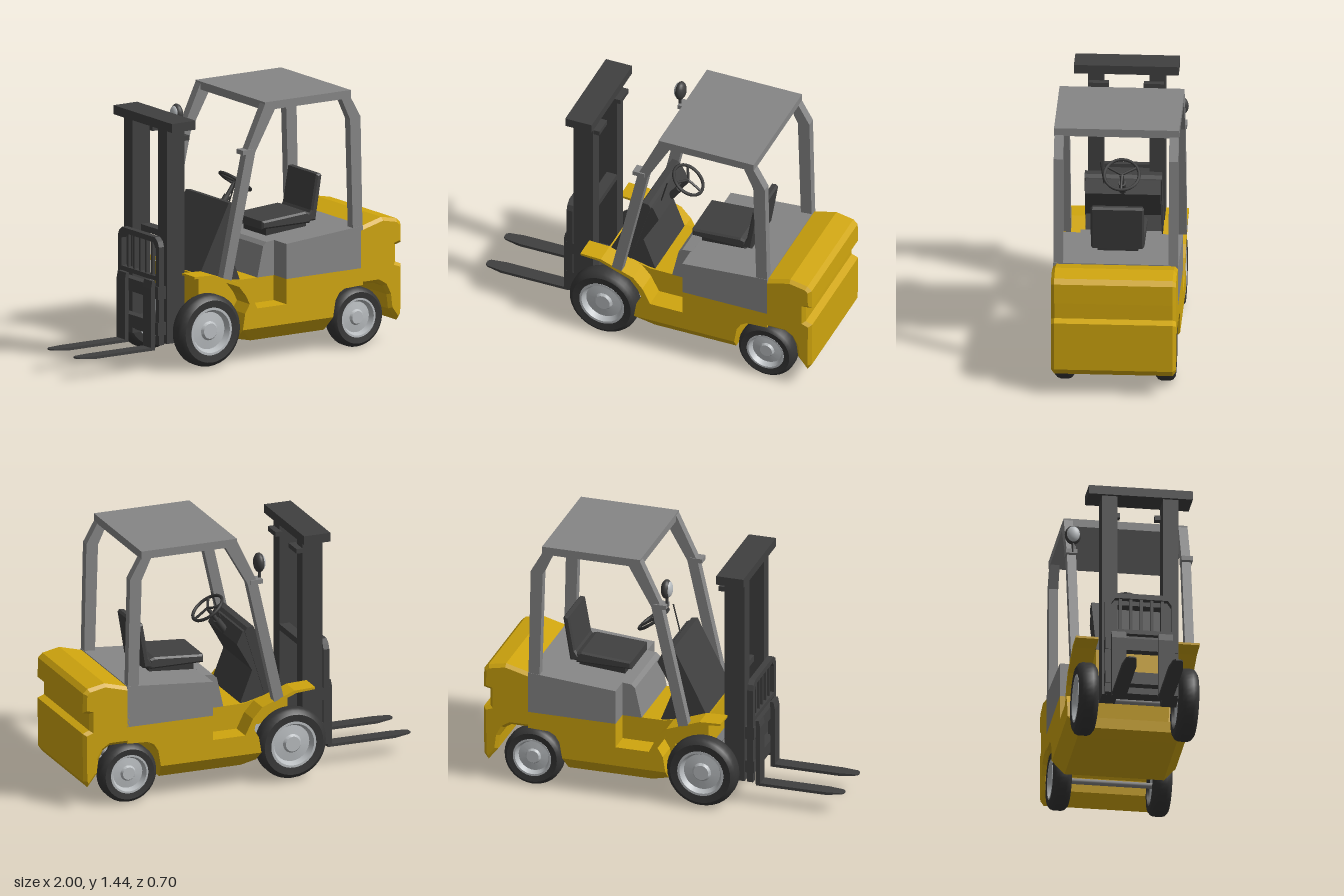
import * as THREE from 'three';
import { toCreasedNormals } from 'three/addons/utils/BufferGeometryUtils.js';

const mat = (name, color) => Object.assign(new THREE.MeshStandardMaterial({ color }), { name });

export function createModel() {
  const yellow = mat('yellow paint', 0xcfa50e), grey = mat('frame grey', 0x868686);
  const dark = mat('dark steel', 0x404040), black = mat('tyre black', 0x363636);
  const silver = mat('rim silver', 0xb9bdc0);
  const model = new THREE.Group();
  model.name = 'forklift';
  const truck = new THREE.Group();
  truck.name = 'truck';
  truck.position.z = 0.005;
  model.add(truck);

  const add = (name, geo, material) => {
    const m = new THREE.Mesh(geo, material);
    m.name = name;
    truck.add(m);
    return m;
  };
  // side profile [x, y] extruded from z0 to z1, with optional chamfer
  const profile = (name, pts, z0, z1, material, bevel = 0) => {
    const shape = new THREE.Shape(pts.map(p => new THREE.Vector2(...p)));
    const geo = new THREE.ExtrudeGeometry(shape, {
      depth: z1 - z0 - 2 * bevel, bevelEnabled: bevel > 0, bevelThickness: bevel,
      bevelSize: bevel, bevelOffset: -bevel, bevelSegments: 1,
    });
    geo.translate(0, 0, z0 + bevel);
    return add(name, geo, material);
  };
  const box = (name, x0, x1, y0, y1, z0, z1, material) => {
    const geo = new THREE.BoxGeometry(x1 - x0, y1 - y0, z1 - z0);
    geo.translate((x0 + x1) / 2, (y0 + y1) / 2, (z0 + z1) / 2);
    return add(name, geo, material);
  };
  const rod = (name, a, b, r, material, sides = 10) => {
    const A = new THREE.Vector3(...a), d = new THREE.Vector3(...b).sub(A);
    const m = add(name, new THREE.CylinderGeometry(r, r, d.length(), sides), material);
    m.position.copy(A).addScaledVector(d, 0.5);
    m.quaternion.setFromUnitVectors(new THREE.Vector3(0, 1, 0), d.normalize());
    return m;
  };
  // the same side profile or box on both sides
  const profiles = (name, pts, z0, z1, material, bevel) => {
    profile(name, pts, z0, z1, material, bevel);
    profile(name, pts, -z1, -z0, material, bevel);
  };
  const boxes = (name, x0, x1, y0, y1, z0, z1, material) => {
    box(name, x0, x1, y0, y1, z0, z1, material);
    box(name, x0, x1, y0, y1, -z1, -z0, material);
  };

  // chassis core, with floor at 0.45
  profile('chassisCore', [[-0.25, 0.51], [-0.25, 0.32], [-0.06, 0.32], [-0.045, 0.2], [0.545, 0.2], [0.56, 0.29],
    [0.62, 0.35], [0.73, 0.35], [0.73, 0.445], [0, 0.45], [-0.08, 0.47]], -0.215, 0.215, yellow);
  // outer skirt with step recess, wheel arch and front fender in one ribbon
  profiles('sideSkirt', [[-0.045, 0.2], [0.545, 0.2], [0.56, 0.29], [0.585, 0.33], [0.62, 0.35], [0.74, 0.355],
    [0.74, 0.45], [0.24, 0.45], [0.24, 0.31], [0.05, 0.31], [0.005, 0.4], [-0.05, 0.46], [-0.24, 0.53], [-0.36, 0.535],
    [-0.36, 0.523], [-0.25, 0.515], [-0.07, 0.445], [-0.025, 0.39], [0.0, 0.34], [-0.03, 0.29]], 0.215, 0.34, yellow);
  // belly, narrowing toward the bottom
  const belly = profile('belly', [[-0.045, 0.2], [-0.04, 0.14], [0.05, 0.12], [0.53, 0.12], [0.545, 0.2]], -0.34, 0.34, yellow);
  const bp = belly.geometry.attributes.position;
  for (let i = 0; i < bp.count; i++) if (bp.getY(i) < 0.16) bp.setZ(i, bp.getZ(i) * 0.8);
  belly.geometry.computeVertexNormals();

  // counterweight with rear groove and half of the wheel arch
  profile('counterweight', [[0.71, 0.355], [0.84, 0.355], [0.88, 0.33], [0.905, 0.28], [0.915, 0.2], [0.97, 0.13],
    [0.995, 0.165], [0.998, 0.44], [0.96, 0.455], [0.96, 0.55], [0.998, 0.56], [0.995, 0.67], [0.97, 0.695],
    [0.87, 0.715], [0.71, 0.672]], -0.34, 0.34, yellow, 0.018);

  // grey hood under the seat, with narrower front part
  profile('hood', [[0.24, 0.45], [0.74, 0.45], [0.74, 0.685], [0.24, 0.645]], -0.34, 0.34, grey);
  profile('hoodFront', [[0.13, 0.45], [0.25, 0.45], [0.25, 0.646], [0.19, 0.64], [0.168, 0.62]], -0.22, 0.22, grey);

  // seat
  box('seatBase', 0.26, 0.52, 0.64, 0.69, -0.11, 0.11, black);
  profile('seatCushion', [[0.215, 0.69], [0.53, 0.69], [0.53, 0.745], [0.5, 0.755], [0.215, 0.735]], -0.145, 0.145, dark, 0.01);
  profile('seatBack', [[0.5, 0.7], [0.565, 0.7], [0.605, 0.945], [0.595, 0.957], [0.57, 0.955], [0.535, 0.76]],
    -0.145, 0.145, dark, 0.01);

  // dash cowl
  profile('dashPanel', [[-0.24, 0.51], [-0.12, 0.47], [0.0, 0.86], [-0.015, 0.88], [-0.05, 0.885]], -0.21, 0.21, dark);
  profile('dashPedestal', [[-0.15, 0.46], [0.025, 0.45], [-0.045, 0.63], [0.045, 0.79], [0.01, 0.86], [-0.04, 0.87]],
    -0.205, 0.205, dark);

  // steering wheel, column and lever
  const hub = [0.133, 0.945, 0], tilt = new THREE.Vector3(0.588, 0.81, 0);
  const rim = add('steeringWheel', new THREE.TorusGeometry(0.095, 0.009, 8, 28), black);
  rim.position.set(...hub);
  rim.quaternion.setFromUnitVectors(new THREE.Vector3(0, 0, 1), tilt);
  rod('steeringColumn', [0.02, 0.79, 0], hub, 0.012, dark);
  rod('steeringBoot', [0.02, 0.79, 0], [0.08, 0.872, 0], 0.02, dark);
  for (const a of [0, 2.094, 4.189]) {
    const s = new THREE.Vector3(0.81 * Math.cos(a), -0.588 * Math.cos(a), Math.sin(a)).multiplyScalar(0.093);
    rod('steeringSpoke', hub, [hub[0] + s.x, hub[1] + s.y, s.z], 0.007, black, 6);
  }
  rod('lever', [0.01, 0.82, 0.1], [0.06, 0.99, 0.12], 0.004, black, 6);

  // overhead guard
  box('roof', 0.1, 0.66, 1.405, 1.45, -0.34, 0.34, grey);
  profiles('frontPost', [[-0.175, 0.5], [-0.12, 0.48], [0.024, 1.18], [0.165, 1.405], [0.165, 1.42], [0.1, 1.44], [-0.035, 1.18]]
    .map(([x, y]) => y === 1.18 ? [x + 0.012, y] : [x, y]), 0.29, 0.34, grey);
  profiles('rearPost', [[0.675, 0.67], [0.738, 0.675], [0.725, 1.295], [0.66, 1.41], [0.6, 1.41], [0.657, 1.285]], 0.288, 0.338, grey);
  boxes('postBracket', -0.05, 0.02, 1.175, 1.2, 0.285, 0.348, grey);

  // round work lamp on one post
  rod('lampStalk', [-0.045, 1.18, -0.31], [-0.045, 1.26, -0.31], 0.008, dark);
  const lamp = add('lampShell', new THREE.SphereGeometry(1, 20, 12), dark);
  lamp.scale.set(0.03, 0.055, 0.045);
  lamp.position.set(-0.042, 1.285, -0.31);
  const lens = add('lampLens', new THREE.SphereGeometry(1, 20, 12), silver);
  lens.scale.set(0.022, 0.046, 0.037);
  lens.position.set(-0.055, 1.285, -0.31);

  // mast
  boxes('mastUpright', -0.455, -0.34, 0.15, 1.345, 0.125, 0.21, dark);
  box('mastTopBar', -0.472, -0.317, 1.34, 1.39, -0.285, 0.285, dark);
  boxes('mastBracket', -0.345, -0.305, 1.265, 1.292, 0.095, 0.205, dark);
  box('mastMidBar', -0.4, -0.34, 0.715, 0.75, -0.2, 0.2, dark);
  box('mastLowBar', -0.44, -0.36, 0.17, 0.25, -0.2, 0.2, dark);

  // carriage plates and load backrest with rounded top corners
  for (const y of [0.2, 0.4]) box('carriagePlate', -0.505, -0.455, y, y + 0.07, -0.2, 0.2, dark);
  box('carriageRail', -0.5, -0.468, 0.5, 0.525, -0.2, 0.2, dark);
  const frame = new THREE.Shape([[-0.2, 0.145], [-0.165, 0.145], [-0.165, 0.68], [-0.145, 0.71], [0.145, 0.71], [0.165, 0.68],
    [0.165, 0.145], [0.2, 0.145], [0.2, 0.69], [0.188, 0.72], [0.16, 0.74], [-0.16, 0.74], [-0.188, 0.72], [-0.2, 0.69]]
    .map(p => new THREE.Vector2(...p)));
  const frameGeo = new THREE.ExtrudeGeometry(frame, { depth: 0.034, bevelEnabled: false });
  frameGeo.rotateY(Math.PI / 2).translate(-0.5, 0, 0);
  add('backrestFrame', frameGeo, dark);
  for (let i = -2; i <= 2; i++) box('backrestBar', -0.492, -0.475, 0.51, 0.72, i * 0.058 - 0.008, i * 0.058 + 0.008, dark);

  // forks with tapered tips
  for (const s of [-1, 1]) {
    const c = s * 0.128;
    const blade = new THREE.Shape([[-0.505, -0.04], [-0.505, 0.04], [-0.9, 0.04], [-0.985, 0.028], [-1, 0.014], [-1, -0.014],
      [-0.985, -0.028], [-0.9, -0.04]].map(([x, z]) => new THREE.Vector2(x, z + c)));
    const geo = new THREE.ExtrudeGeometry(blade, { depth: 0.016, bevelEnabled: false });
    geo.rotateX(Math.PI / 2).translate(0, 0.13, 0);
    const p = geo.attributes.position;
    for (let i = 0; i < p.count; i++) if (p.getX(i) < -0.95 && p.getY(i) < 0.12) p.setY(i, 0.122);
    geo.computeVertexNormals();
    add('forkBlade', geo, dark);
    profile('forkShank', [[-0.53, 0.114], [-0.505, 0.114], [-0.503, 0.5], [-0.522, 0.5], [-0.53, 0.46]], c - 0.04, c + 0.04, dark);
  }

  // wheels and axles
  const lathe = pts => toCreasedNormals(new THREE.LatheGeometry(pts.map(p => new THREE.Vector2(...p)), 36), 0.6);
  const wheel = (name, x, y, r, z, w) => {
    const h = w / 2, q = r * 0.66;
    const tyre = lathe([[q, -h], [r * 0.86, -h], [r * 0.96, -h * 0.75], [r, -h * 0.4], [r, h * 0.4],
      [r * 0.96, h * 0.75], [r * 0.86, h], [q, h * 0.92], [q, -h]]);
    const disc = lathe([[0, -h * 0.7], [q, -h * 0.7], [q, h * 0.95], [q * 0.9, h * 0.95], [q * 0.78, h * 0.4],
      [q * 0.4, h * 0.5], [q * 0.32, h * 0.75], [0, h * 0.75]]);
    for (const s of [-1, 1]) {
      for (const m of [add(name + 'Tyre', tyre, black), add(name + 'Rim', disc, silver)]) {
        m.rotation.x = s * Math.PI / 2;
        m.position.set(x, y, s * z);
      }
    }
    rod(name + 'Axle', [x, y, -z], [x, y, z], 0.016, grey, 12);
  };
  wheel('frontWheel', -0.24, 0.215, 0.2, 0.275, 0.11);
  wheel('rearWheel', 0.722, 0.172, 0.166, 0.275, 0.105);
  return model;
}
